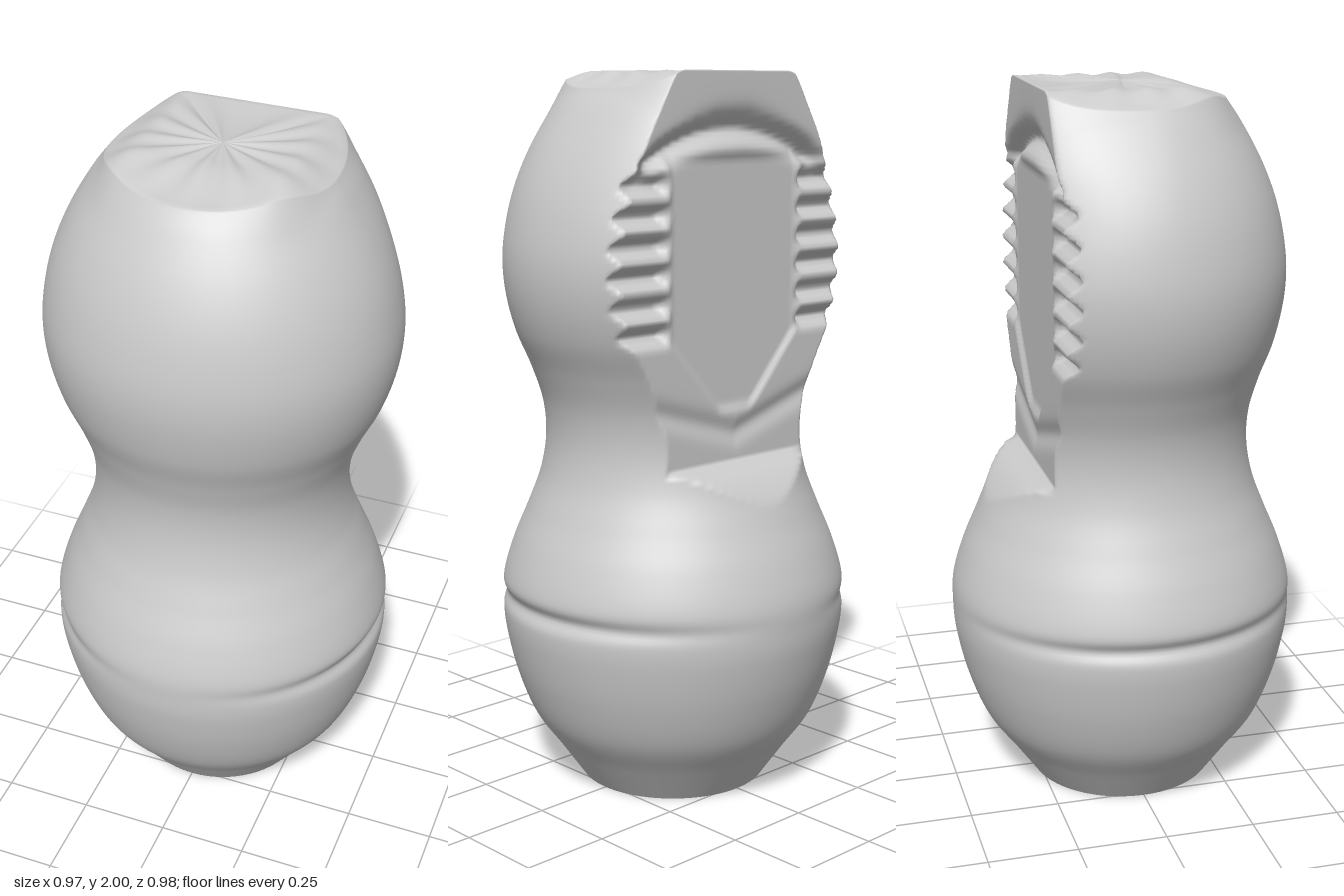
import * as THREE from 'three';

const SEG = 240, ROWS = 170, CAP = 18;
const { smoothstep, clamp } = THREE.MathUtils;

// half width of the body by height
const profile = new THREE.SplineCurve([
  [0.265, 0], [0.335, 0.1], [0.405, 0.2], [0.452, 0.32], [0.48, 0.44], [0.487, 0.52],
  [0.484, 0.6], [0.454, 0.7], [0.412, 0.8], [0.375, 0.9], [0.36, 1.0], [0.37, 1.1],
  [0.405, 1.2], [0.45, 1.3], [0.477, 1.4], [0.485, 1.5], [0.473, 1.6], [0.446, 1.7],
  [0.402, 1.8], [0.342, 1.9], [0.3, 1.955],
].map(([r, y]) => new THREE.Vector2(r, y)));

// 1 inside the band a..b, fading over f
const band = (v, a, b, f) => smoothstep(v, a - f, a + f) * (1 - smoothstep(v, b - f, b + f));

// depth of the cut back at x, y: flat panel, side ridges, arched groove, lower lip
function backDepth(x, y) {
  const ax = Math.abs(x);
  if (y < 0.95) return 0.25 + 0.15 * Math.sqrt(clamp((0.95 - y) / 0.11, 0, 1));
  let d = 0.25;
  const ridges = band(y, 1.3, 1.76, 0.03) * smoothstep(ax, 0.235, 0.27);
  d -= ridges * (0.022 + 0.02 * Math.sin((y - 1.3) * Math.PI * 2 / 0.078));
  const half = 0.24 - 0.9 * Math.max(0, 1.3 - y);
  const panel = band(y, 1.1, 1.78, 0.015) * (1 - smoothstep(ax, half - 0.012, half + 0.012));
  d -= 0.012 * panel;
  const arch = y - (1.85 - 0.9 * x * x);
  d -= 0.045 * Math.exp(-((arch / 0.03) ** 2)) * (1 - smoothstep(ax, 0.28, 0.38));
  d -= 0.012 * Math.exp(-(((y - 1.03 - 0.3 * ax) / 0.03) ** 2));
  return d;
}

// point of the outer wall at angle a
function wallPoint(p, a) {
  const c = Math.cos(a), s = Math.sin(a), y = p.y;
  let r = p.x;
  // shallow waist groove, deepest at the sides
  r -= 0.018 * c * c * Math.exp(-(((y - 0.548) / 0.022) ** 2));
  let x = r * c, z = r * s;
  if (s > 0) z *= 1 - 0.07 * smoothstep(y, 0.9, 1.4);
  else {
    // squarer rear corners towards the top
    const e = 1 - 0.5 * smoothstep(y, 1.65, 1.95);
    x = r * Math.sign(c) * Math.abs(c) ** e;
    if (y > 0.84) z = Math.max(z, -backDepth(x, y));
  }
  return [x, y, z];
}

// height of the gently crowned top
const topLift = (x, z) =>
  0.045 * (1 - smoothstep(z, 0.1, 0.3)) * (1 - smoothstep(Math.abs(x), 0.19, 0.31));

function bodyGeometry() {
  const pos = [], idx = [];
  const angle = i => i / SEG * Math.PI * 2;
  for (let j = 0; j <= ROWS; j++) {
    const p = profile.getPoint(j / ROWS);
    for (let i = 0; i < SEG; i++) {
      const [x, y, z] = wallPoint(p, angle(i));
      pos.push(x, y + topLift(x, z) * smoothstep(y, 1.86, 1.955), z);
    }
  }
  // top with faint radiating creases
  const rim = profile.getPoint(1);
  for (let k = 1; k <= CAP; k++) {
    const f = 1 - k / CAP;
    for (let i = 0; i < SEG; i++) {
      const a = angle(i), [rx, , rz] = wallPoint(rim, a);
      const x = rx * f, z = rz * f;
      const crease = 0.004 * (Math.sin(a * 13) - 1) * Math.sin(Math.PI * f);
      pos.push(x, rim.y + topLift(x, z) + crease, z);
    }
  }
  for (let j = 0; j < ROWS + CAP; j++) {
    for (let i = 0; i < SEG; i++) {
      const n = (i + 1) % SEG;
      const a = j * SEG + i, b = j * SEG + n, c = a + SEG, d = b + SEG;
      idx.push(a, c, b);
      if (j < ROWS + CAP - 1) idx.push(b, c, d);
    }
  }
  const g = new THREE.BufferGeometry();
  g.setAttribute('position', new THREE.Float32BufferAttribute(pos, 3));
  g.setIndex(idx);
  g.computeVertexNormals();
  return g;
}

export function createModel() {
  const group = new THREE.Group();
  const material = new THREE.MeshStandardMaterial({ color: 0xcccccc });

  const body = new THREE.Mesh(bodyGeometry(), material);
  body.name = 'body';

  // flat underside
  const base = new THREE.Mesh(new THREE.CircleGeometry(0.265, SEG), material);
  base.rotation.x = Math.PI / 2;
  base.name = 'base';

  group.add(body, base);
  return group;
}
